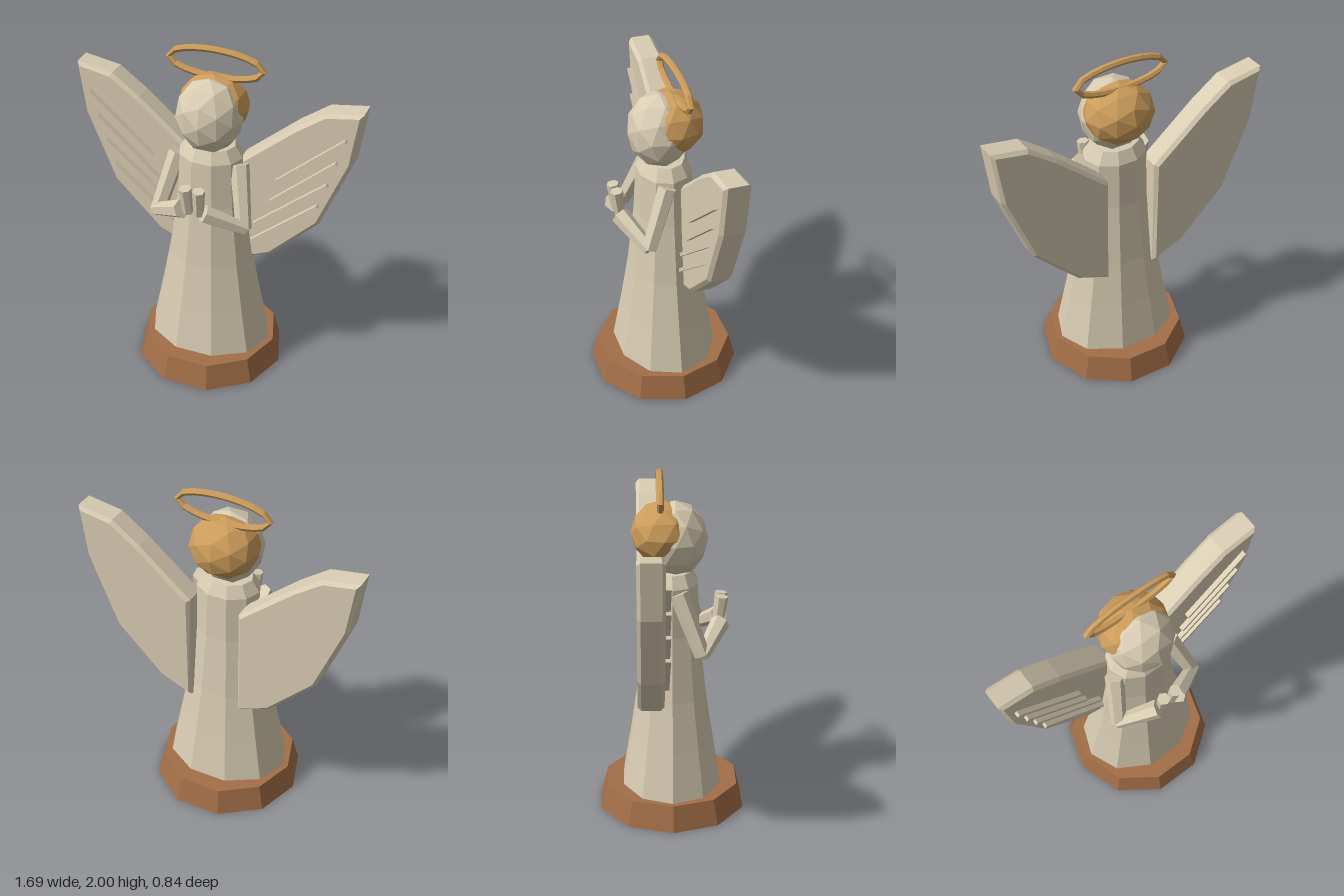
import * as THREE from 'three';
import { toCreasedNormals } from 'three/addons/utils/BufferGeometryUtils.js';

const cream = new THREE.MeshStandardMaterial({ color: 0xd8ccb2 });
cream.name = 'cream';
const gold = new THREE.MeshStandardMaterial({ color: 0xcc9c5a });
gold.name = 'gold';
const brown = new THREE.MeshStandardMaterial({ color: 0xa36e47 });
brown.name = 'brown';

const V = (x, y, z) => new THREE.Vector3(x, y, z);

export function createModel() {
  const model = new THREE.Group();
  model.name = 'angelFigurine';

  // Every part is faceted
  function add(name, geometry, material, parent = model) {
    const mesh = new THREE.Mesh(toCreasedNormals(geometry, 0.01), material);
    mesh.name = name;
    parent.add(mesh);
    return mesh;
  }

  // Tapered rod between two points
  function rod(name, a, b, ra, rb, sides, parent) {
    const dir = b.clone().sub(a);
    const mesh = add(name, new THREE.CylinderGeometry(rb, ra, dir.length(), sides), cream, parent);
    mesh.position.copy(a).add(b).multiplyScalar(0.5);
    mesh.quaternion.setFromUnitVectors(V(0, 1, 0), dir.normalize());
    return mesh;
  }

  // Ten-sided plinth
  const plinth = new THREE.CylinderGeometry(0.4, 0.44, 0.15, 10);
  plinth.rotateY(Math.PI / 2).translate(0, 0.075, 0);
  add('base', plinth, brown);

  // Robe: ten-sided and flattened front to back
  const profile = [[0.37, 0.145], [0.31, 0.43], [0.255, 0.72], [0.205, 1.1], [0.19, 1.38], [0.145, 1.45], [0, 1.46]]
    .map(([r, y]) => new THREE.Vector2(r, y));
  const robe = new THREE.LatheGeometry(profile, 10);
  robe.rotateY(Math.PI / 2).scale(1, 1, 0.81);
  add('robe', robe, cream);

  // Head and hair: overlapping faceted balls
  const head = new THREE.IcosahedronGeometry(1, 1);
  head.scale(0.195, 0.218, 0.185).translate(0, 1.628, 0.02);
  add('head', head, cream);
  const hair = new THREE.IcosahedronGeometry(1, 1);
  hair.scale(0.205, 0.182, 0.188).translate(0, 1.663, -0.042);
  add('hair', hair, gold);

  // Upright oval halo
  const oval = [];
  for (let i = 0; i < 16; i++) {
    const a = (i / 16) * Math.PI * 2;
    oval.push(V(0.277 * Math.cos(a), 1.9 + 0.082 * Math.sin(a), -0.065));
  }
  const haloPath = new THREE.CatmullRomCurve3(oval, true);
  add('halo', new THREE.TubeGeometry(haloPath, 20, 0.019, 6, true), gold);

  const wingOutline = [[0.15, 0.65], [0.35, 0.73], [0.63, 1.01], [0.8, 1.43], [0.845, 1.755],
    [0.63, 1.72], [0.465, 1.6], [0.15, 1.33]];
  // Feather ridges: outer end, then inner end
  const ridges = [[0.765, 1.595, 0.38, 1.255], [0.72, 1.445, 0.345, 1.11],
    [0.675, 1.295, 0.25, 0.935], [0.625, 1.145, 0.23, 0.81]];

  for (const s of [1, -1]) {
    const side = s > 0 ? 'left' : 'right';

    // Bevelled slab wing
    const wing = new THREE.Group();
    wing.name = side + 'Wing';
    model.add(wing);
    const shape = new THREE.Shape(wingOutline.map(([x, y]) => new THREE.Vector2(s * x, y)));
    const slab = new THREE.ExtrudeGeometry(shape, {
      depth: 0.11, bevelEnabled: true, bevelSegments: 1, bevelSize: 0.02, bevelThickness: 0.02, bevelOffset: -0.02,
    });
    slab.translate(0, 0, -0.178);
    add('wingSlab', slab, cream, wing);
    for (const [x1, y1, x2, y2] of ridges) {
      const ridge = add('featherRidge', new THREE.BoxGeometry(Math.hypot(x1 - x2, y1 - y2), 0.02, 0.03), cream, wing);
      ridge.position.set((s * (x1 + x2)) / 2, (y1 + y2) / 2, -0.034);
      ridge.rotation.z = s * Math.atan2(y1 - y2, x1 - x2);
    }

    // Bent arm with a flaring sleeve and raised hand
    const arm = new THREE.Group();
    arm.name = side + 'Arm';
    model.add(arm);
    rod('upperArm', V(s * 0.185, 1.36, 0.035), V(s * 0.262, 1.025, 0.165), 0.055, 0.045, 6, arm);
    rod('forearm', V(s * 0.275, 1.03, 0.165), V(s * 0.065, 1.15, 0.275), 0.038, 0.055, 6, arm);
    rod('hand', V(s * 0.032, 1.13, 0.265), V(s * 0.04, 1.295, 0.285), 0.03, 0.036, 6, arm);
  }

  return model;
}
